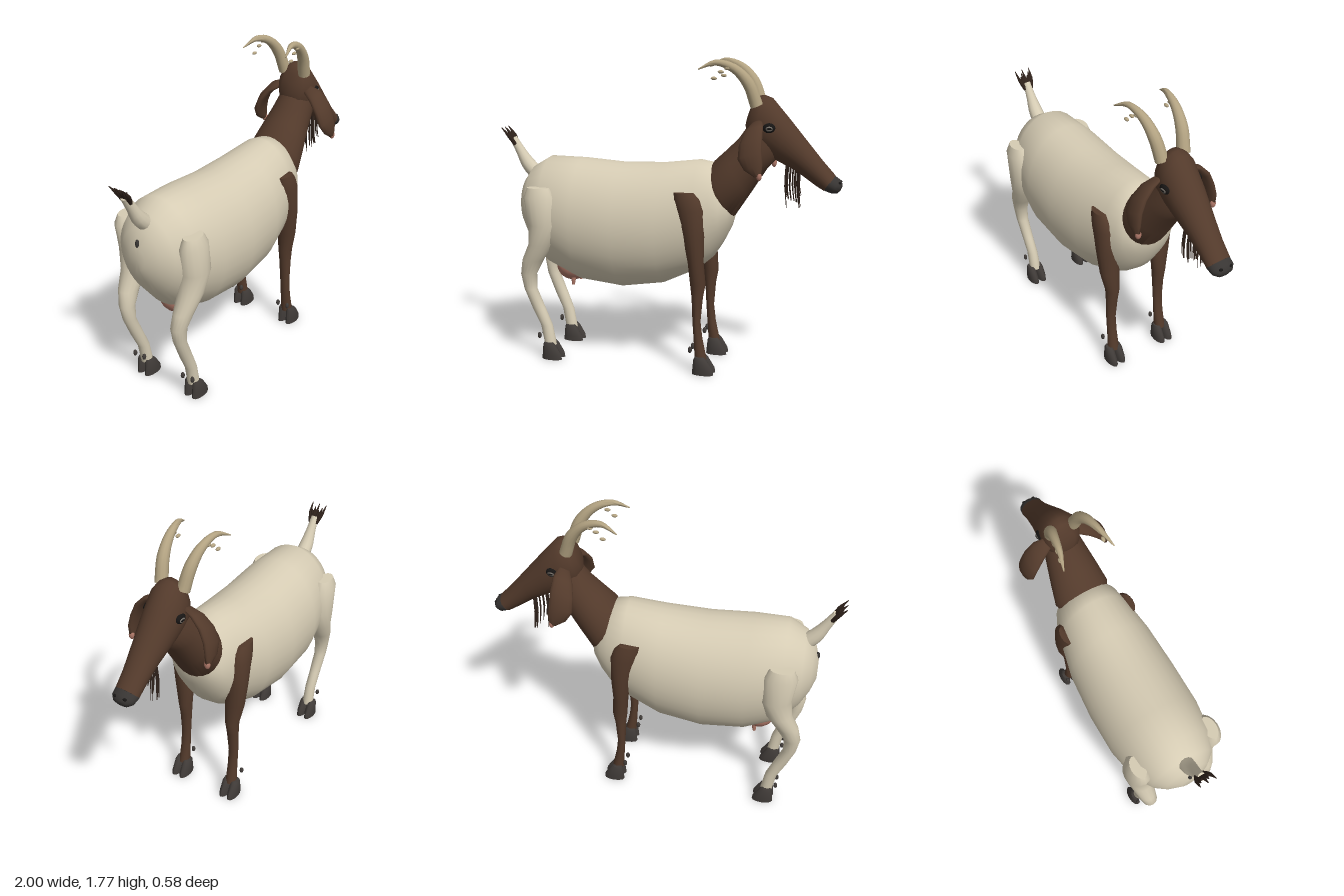
import * as THREE from 'three';
import { toCreasedNormals } from 'three/addons/utils/BufferGeometryUtils.js';

const mat = (name, color) => new THREE.MeshStandardMaterial({ name, color });
const V = (x, y, z) => new THREE.Vector3(x, y, z);

// Skin over elliptical rings; each ring is { c: centre, u, v: half axes }
function loft(rings, segs = 20, crease = 0.9) {
  const pos = [], idx = [], n = rings.length;
  for (const { c, u, v } of rings) {
    for (let j = 0; j < segs; j++) {
      const t = (j / segs) * Math.PI * 2;
      const p = c.clone().addScaledVector(u, Math.cos(t)).addScaledVector(v, Math.sin(t));
      pos.push(p.x, p.y, p.z);
    }
  }
  const first = rings[0].c, last = rings[n - 1].c;
  pos.push(...first.toArray(), ...last.toArray());
  const axis = new THREE.Vector3().crossVectors(rings[0].u, rings[0].v);
  const flip = axis.dot(last.clone().sub(first)) < 0;
  const tri = (a, b, c) => (flip ? idx.push(a, c, b) : idx.push(a, b, c));
  for (let j = 0; j < segs; j++) {
    const k = (j + 1) % segs;
    for (let i = 0; i < n - 1; i++) {
      const a = i * segs + j, b = i * segs + k;
      tri(a, b, b + segs);
      tri(a, b + segs, a + segs);
    }
    tri(n * segs, k, j);
    tri(n * segs + 1, (n - 1) * segs + j, (n - 1) * segs + k);
  }
  const g = new THREE.BufferGeometry();
  g.setAttribute('position', new THREE.Float32BufferAttribute(pos, 3));
  g.setIndex(idx);
  return toCreasedNormals(g, crease);
}

// Ring from its top and bottom points in the side profile, and its half width
const profile = ([xt, yt, xb, yb, w]) => ({
  c: V((xt + xb) / 2, (yt + yb) / 2, 0),
  u: V((xt - xb) / 2, (yt - yb) / 2, 0),
  v: V(0, 0, w),
});
// Level ring: height, x range, z range
const level = ([y, x0, x1, z0, z1]) => ({
  c: V((x0 + x1) / 2, y, (z0 + z1) / 2),
  u: V((x1 - x0) / 2, 0, 0),
  v: V(0, 0, (z1 - z0) / 2),
});

// Tapered tube along a smooth path, radii spread evenly along it
function taper(points, radii, steps = 10, segs = 8) {
  const curve = new THREE.CatmullRomCurve3(points.map((p) => V(...p)));
  const rings = [];
  for (let i = 0; i <= steps; i++) {
    const t = i / steps, f = t * (radii.length - 1), k = Math.min(Math.floor(f), radii.length - 2);
    const r = THREE.MathUtils.lerp(radii[k], radii[k + 1], f - k);
    const d = curve.getTangent(t);
    const u = V(0, 0, 1).addScaledVector(d, -d.z).normalize();
    rings.push({ c: curve.getPoint(t), u: u.clone().multiplyScalar(r), v: d.cross(u).multiplyScalar(r) });
  }
  return loft(rings, segs, 1.2);
}

export function createModel() {
  const cream = mat('cream coat', 0xd6ccb4), brown = mat('brown coat', 0x533a2b);
  const horn = mat('horn', 0xb3a382), hoof = mat('hoof', 0x403b38);
  const pink = mat('pink skin', 0xae7868), dark = mat('dark nose', 0x383533);
  const hair = mat('dark hair', 0x2f221b), black = mat('eye black', 0x171514);
  const iris = mat('iris', 0x7a746c);

  const goat = new THREE.Group();
  goat.name = 'goat';
  const add = (name, geo, m, parent = goat) => {
    const mesh = new THREE.Mesh(geo, m);
    mesh.name = name;
    parent.add(mesh);
    return mesh;
  };
  const blob = (name, m, p, r, parent) => {
    const mesh = add(name, new THREE.SphereGeometry(1, 16, 12), m, parent);
    mesh.position.set(...p);
    mesh.scale.set(...r);
    return mesh;
  };

  // Barrel, rump to chest
  add('body', loft([
    [-0.88, 0.97, -0.88, 0.84, 0.05], [-0.85, 1.06, -0.85, 0.76, 0.13],
    [-0.80, 1.13, -0.80, 0.67, 0.19], [-0.70, 1.19, -0.70, 0.55, 0.245],
    [-0.50, 1.187, -0.50, 0.46, 0.278], [-0.25, 1.17, -0.25, 0.435, 0.28],
    [0, 1.18, 0, 0.475, 0.264], [0.20, 1.205, 0.20, 0.57, 0.222],
    [0.29, 1.19, 0.29, 0.65, 0.195], [0.34, 1.12, 0.34, 0.73, 0.17],
    [0.385, 1.05, 0.385, 0.82, 0.125], [0.405, 1.0, 0.405, 0.89, 0.07],
  ].map(profile), 32, 1.2), cream);

  // Neck, head and nose
  add('neck', loft([
    [0.26, 1.16, 0.36, 0.89, 0.15], [0.285, 1.2, 0.405, 0.89, 0.165],
    [0.36, 1.27, 0.49, 1.02, 0.145], [0.42, 1.33, 0.585, 1.17, 0.122],
    [0.47, 1.40, 0.65, 1.24, 0.105], [0.53, 1.48, 0.66, 1.30, 0.08],
  ].map(profile), 24), brown);
  add('head', loft([
    [0.495, 1.52, 0.46, 1.40, 0.05], [0.525, 1.57, 0.47, 1.33, 0.085],
    [0.565, 1.575, 0.505, 1.28, 0.104], [0.605, 1.56, 0.56, 1.25, 0.11],
    [0.70, 1.45, 0.65, 1.21, 0.1], [0.80, 1.33, 0.75, 1.16, 0.083],
    [0.89, 1.222, 0.85, 1.09, 0.071], [0.96, 1.145, 0.90, 1.06, 0.07],
  ].map(profile), 24, 1.2), brown);
  add('nose', loft([
    [0.955, 1.145, 0.90, 1.062, 0.071], [0.985, 1.125, 0.945, 1.047, 0.066],
    [0.998, 1.105, 0.975, 1.05, 0.045], [1.0, 1.09, 0.99, 1.065, 0.015],
  ].map(profile), 24, 1.2), dark);
  for (const s of [-1, 1]) blob('nostril', black, [0.983, 1.11, s * 0.03], [0.012, 0.008, 0.012]);

  // Beard of separate strands
  for (let i = 0; i < 18; i++) {
    const x = 0.69 + 0.085 * ((i * 0.37) % 1), z = 0.045 * Math.sin(i * 2.4);
    const low = 0.95 + 0.09 * ((i * 0.618) % 1);
    add('beardStrand', taper([[x, 1.21, z * 0.8], [x - 0.005, 1.08, z], [x + 0.006, low, z * 1.1]],
      [0.004, 0.004, 0.002], 4, 5), hair);
  }

  // Tail and tuft
  add('tail', taper([[-0.79, 1.07, 0], [-0.85, 1.13, 0], [-0.90, 1.21, 0], [-0.945, 1.285, 0]],
    [0.045, 0.042, 0.028, 0.022], 8, 12), cream);
  for (let i = 0; i < 7; i++) {
    const z = (i - 3) * 0.013, e = (i % 3) * 0.02;
    add('tailTuft', taper([[-0.925, 1.25, z * 0.5], [-0.955, 1.30, z], [-0.998 + e, 1.35 - e * 0.6, z * 1.2]],
      [0.012, 0.011, 0.002], 4, 6), hair);
  }
  blob('rearPatch', dark, [-0.872, 0.99, 0], [0.012, 0.025, 0.012]);

  // Udder
  blob('udder', pink, [-0.575, 0.535, 0], [0.1, 0.09, 0.11]);

  // Paired parts, built on +z and mirrored by rule
  for (const s of [1, -1]) {
    const side = (rows) => rows.map(([y, x0, x1, z0, z1]) => level([y, x0, x1, s * z0, s * z1]));
    add('teat', taper([[-0.555, 0.49, s * 0.06], [-0.555, 0.46, s * 0.063], [-0.557, 0.428, s * 0.065]],
      [0.016, 0.014, 0.009], 4, 8), pink);

    add('frontLeg', loft(side([
      [1.045, 0.10, 0.215, 0.175, 0.232], [1.01, 0.10, 0.245, 0.15, 0.242],
      [0.95, 0.11, 0.268, 0.14, 0.248], [0.80, 0.15, 0.272, 0.12, 0.248],
      [0.65, 0.178, 0.265, 0.115, 0.235], [0.52, 0.188, 0.277, 0.125, 0.205],
      [0.44, 0.198, 0.262, 0.13, 0.202], [0.30, 0.205, 0.25, 0.14, 0.2],
      [0.20, 0.212, 0.262, 0.14, 0.2], [0.08, 0.22, 0.288, 0.138, 0.205],
    ]), 16), brown);
    add('hindLeg', loft(side([
      [1.035, -0.765, -0.63, 0.185, 0.265], [0.98, -0.787, -0.60, 0.16, 0.287],
      [0.82, -0.765, -0.583, 0.13, 0.29], [0.70, -0.772, -0.625, 0.13, 0.272],
      [0.60, -0.818, -0.69, 0.14, 0.25], [0.51, -0.835, -0.74, 0.14, 0.228],
      [0.42, -0.818, -0.742, 0.145, 0.218], [0.30, -0.77, -0.692, 0.145, 0.21],
      [0.20, -0.722, -0.652, 0.142, 0.206], [0.08, -0.70, -0.63, 0.138, 0.205],
    ]), 16), cream);

    // Cloven hooves and dewclaws
    for (const [x, name] of [[0.21, 'frontHoof'], [-0.71, 'hindHoof']]) {
      for (const z of [0.148, 0.202]) {
        add(name, loft(side([
          [0, x, x + 0.125, z - 0.028, z + 0.028], [0.03, x + 0.003, x + 0.12, z - 0.028, z + 0.028],
          [0.085, x + 0.008, x + 0.085, z - 0.025, z + 0.025], [0.1, x + 0.015, x + 0.07, z - 0.018, z + 0.018],
        ]), 12), hoof);
        blob('dewclaw', hoof, [x - 0.01, 0.143, s * (z < 0.17 ? 0.142 : 0.21)], [0.012, 0.019, 0.011]);
      }
    }

    // Drooping ear: half width in x, half thickness across the slope
    add('ear', loft([
      [0.535, 1.43, 0.09, 0.03, 0.012, 0.017], [0.53, 1.40, 0.15, 0.052, 0.013, 0.018],
      [0.525, 1.34, 0.202, 0.063, 0.012, 0.022], [0.527, 1.27, 0.232, 0.065, 0.006, 0.024],
      [0.55, 1.21, 0.246, 0.05, 0.002, 0.02], [0.575, 1.165, 0.245, 0.02, 0, 0.014],
    ].map(([x, y, z, w, ty, tz]) => ({
      c: V(x, y, s * z), u: V(w, w * 0.35, 0), v: V(0, ty, s * tz),
    })), 16, 1.2), brown);
    blob('earTip', pink, [0.582, 1.165, s * 0.244], [0.015, 0.026, 0.017]);

    // Swept-back horn with loose ridge bumps
    add('horn', taper([[0.53, 1.52, s * 0.068], [0.485, 1.64, s * 0.085], [0.41, 1.72, s * 0.1],
      [0.31, 1.752, s * 0.118], [0.22, 1.716, s * 0.145]], [0.036, 0.033, 0.025, 0.016, 0.003], 16, 12), horn);
    for (const [x, y, z] of [[0.375, 1.722, 0.118], [0.34, 1.703, 0.12], [0.303, 1.668, 0.125]])
      blob('hornRidge', horn, [x, y, s * z], [0.017, 0.009, 0.01]);

    // Eye
    blob('eye', black, [0.604, 1.405, s * 0.1], [0.036, 0.028, 0.02]);
    blob('iris', iris, [0.607, 1.403, s * 0.112], [0.022, 0.016, 0.01]);
    blob('pupil', black, [0.609, 1.403, s * 0.118], [0.015, 0.007, 0.006]);
  }
  return goat;
}
